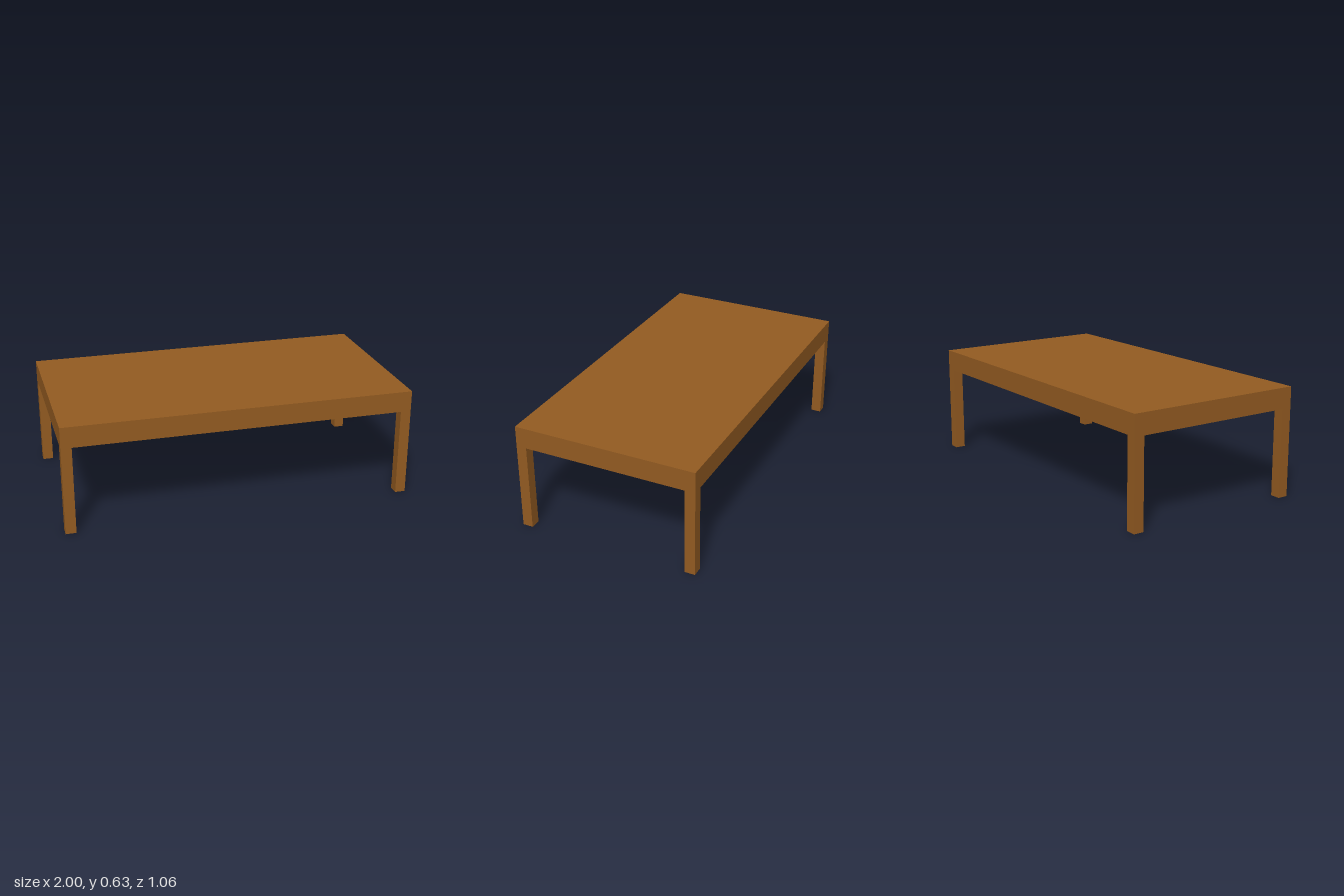
import * as THREE from 'three';

const W = 2, D = 1.06, H = 0.63;  // overall size
const LEG = 0.06;                 // leg and apron thickness
const APRON_BOTTOM = 0.51;
const TOP = 0.03;                 // tabletop thickness

export function createModel() {
  const table = new THREE.Group();
  table.name = 'table';
  const wood = new THREE.MeshStandardMaterial({ color: 0x935b21 });
  wood.name = 'brown wood';

  const box = (name, w, h, d, x, y, z) => {
    const mesh = new THREE.Mesh(new THREE.BoxGeometry(w, h, d), wood);
    mesh.name = name;
    mesh.position.set(x, y + h / 2, z);
    table.add(mesh);
  };

  // Tabletop slab
  box('tabletop', W, TOP, D, 0, H - TOP, 0);

  const legHeight = H - TOP;
  const apronHeight = H - TOP - APRON_BOTTOM;
  const legX = (W - LEG) / 2, legZ = (D - LEG) / 2;

  for (const s of [1, -1]) {
    // Aprons between the legs, flush with the outside
    box(s > 0 ? 'frontApron' : 'backApron', W - 2 * LEG, apronHeight, LEG, 0, APRON_BOTTOM, s * legZ);
    box(s > 0 ? 'leftApron' : 'rightApron', LEG, apronHeight, D - 2 * LEG, s * legX, APRON_BOTTOM, 0);
    // Corner legs
    for (const t of [1, -1]) {
      const name = (t > 0 ? 'front' : 'back') + (s > 0 ? 'Left' : 'Right') + 'Leg';
      box(name, LEG, legHeight, LEG, s * legX, 0, t * legZ);
    }
  }
  return table;
}
